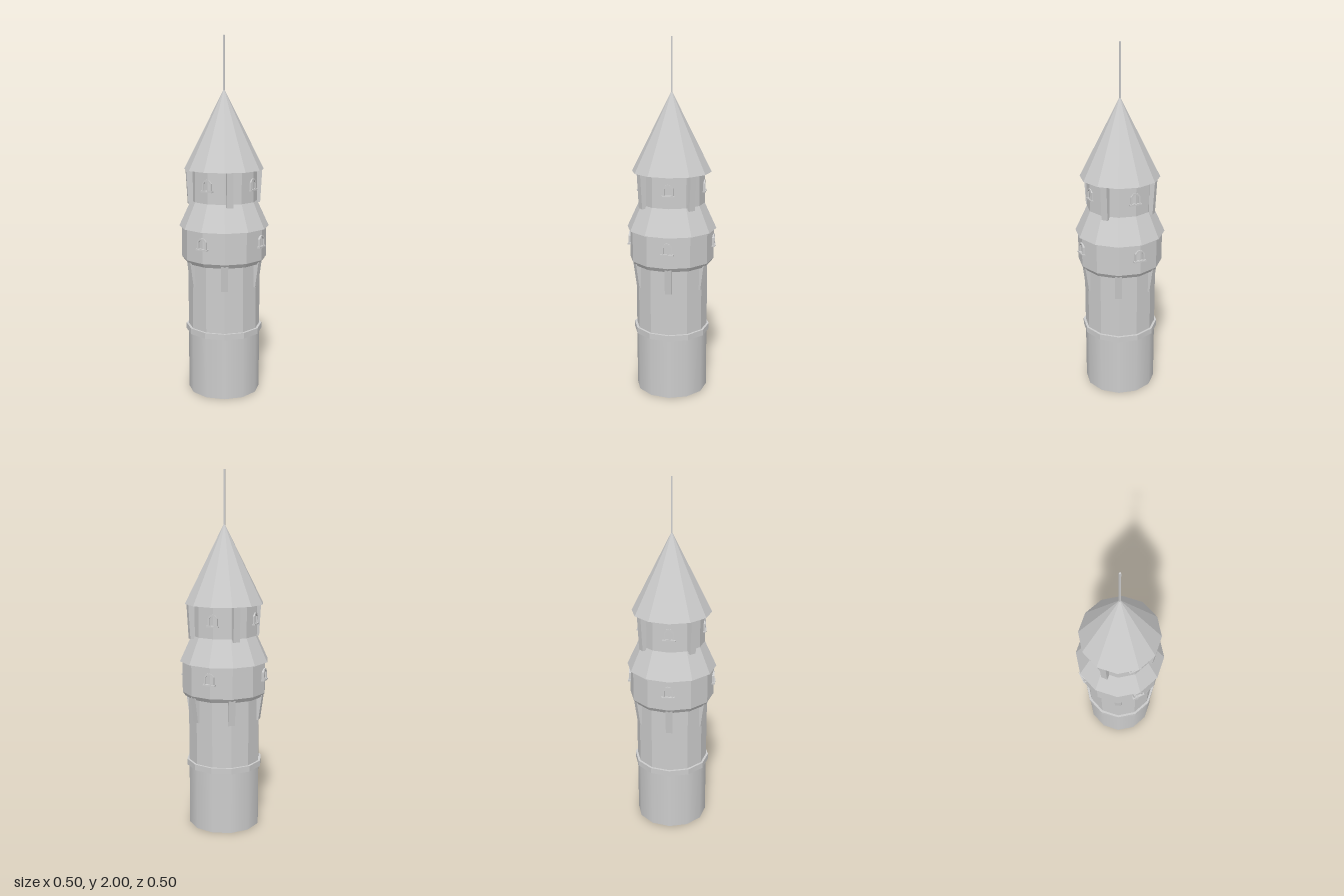
import * as THREE from 'three';

const SIDES = 12;
const flat = new THREE.MeshStandardMaterial({ color: 0xcccccc, flatShading: true });
const smooth = new THREE.MeshStandardMaterial({ color: 0xcccccc });

function add(parent, name, geometry, material = flat) {
  const mesh = new THREE.Mesh(geometry, material);
  mesh.name = name;
  parent.add(mesh);
  return mesh;
}

// Twelve-sided section between two heights
function section(parent, name, y0, y1, r0, r1, material = flat, sides = SIDES) {
  const mesh = add(parent, name, new THREE.CylinderGeometry(r1, r0, y1 - y0, sides), material);
  mesh.position.y = (y0 + y1) / 2;
  return mesh;
}

// Wedge bracket: wide at the top, thinner at the foot; profile is (radius, height)
function bracketGeometry(inner, foot, top, y0, y1, width) {
  const profile = new THREE.Shape([
    new THREE.Vector2(inner, y0), new THREE.Vector2(foot, y0),
    new THREE.Vector2(top, y1), new THREE.Vector2(inner, y1),
  ]);
  return new THREE.ExtrudeGeometry(profile, { depth: width, bevelEnabled: false })
    .translate(0, 0, -width / 2).rotateY(-Math.PI / 2);
}

// Arched outline standing on y = 0
function arch(target, halfWidth, base, spring, top) {
  target.moveTo(-halfWidth, base);
  target.lineTo(halfWidth, base);
  target.lineTo(halfWidth, spring);
  target.lineTo(halfWidth * 0.5, top - (top - spring) * 0.2);
  target.lineTo(0, top);
  target.lineTo(-halfWidth * 0.5, top - (top - spring) * 0.2);
  target.lineTo(-halfWidth, spring);
  target.closePath();
  return target;
}

// Window with arched frame and sill, its face at the given radius
function makeWindow(radius, y) {
  const group = new THREE.Group();
  group.name = 'window';
  const outline = arch(new THREE.Shape(), 0.028, 0, 0.045, 0.066);
  outline.holes.push(arch(new THREE.Path(), 0.02, 0.006, 0.041, 0.057));
  const frame = add(group, 'windowFrame',
    new THREE.ExtrudeGeometry(outline, { depth: 0.03, bevelEnabled: false }));
  frame.position.set(0, y, radius - 0.03);
  const sill = add(group, 'windowSill', new THREE.BoxGeometry(0.07, 0.008, 0.034));
  sill.position.set(0, y, radius - 0.012);
  return group;
}

// Repeat an object evenly around the tower axis
function ring(parent, name, count, startDegrees, make) {
  const group = new THREE.Group();
  group.name = name;
  for (let i = 0; i < count; i++) {
    const item = make();
    item.rotation.y = THREE.MathUtils.degToRad(startDegrees + (i * 360) / count);
    group.add(item);
  }
  parent.add(group);
}

export function createModel() {
  const tower = new THREE.Group();
  tower.name = 'tower';

  // Shaft
  section(tower, 'base', 0, 0.35, 0.203, 0.203, smooth);
  section(tower, 'baseRing', 0.35, 0.383, 0.216, 0.216);
  section(tower, 'shaft', 0.383, 0.765, 0.203, 0.203);

  // Overhanging lower gallery and its sloped skirt roof
  section(tower, 'galleryUnderside', 0.757, 0.78, 0.222, 0.238);
  section(tower, 'gallery', 0.78, 0.955, 0.238, 0.238);
  section(tower, 'skirtRoof', 0.955, 1.1, 0.252, 0.185);

  // Upper drum, cone roof and spire
  section(tower, 'upperDrum', 1.1, 1.275, 0.185, 0.185);
  const roof = add(tower, 'coneRoof', new THREE.ConeGeometry(0.222, 0.44, SIDES));
  roof.position.y = 1.495;
  section(tower, 'spire', 1.69, 2, 0.006, 0.006, flat, 4).rotation.y = Math.PI / 4;

  // Brackets below the gallery and below the cone roof
  const lower = bracketGeometry(0.18, 0.208, 0.228, 0.625, 0.77, 0.038);
  const upper = bracketGeometry(0.16, 0.203, 0.214, 1.085, 1.275, 0.036);
  const bracket = (geometry) => () => {
    const mesh = new THREE.Mesh(geometry, flat);
    mesh.name = 'bracket';
    return mesh;
  };
  ring(tower, 'galleryBrackets', 6, 30, bracket(lower));
  ring(tower, 'roofBrackets', 4, 38, bracket(upper));

  // Windows on the four main sides
  ring(tower, 'galleryWindows', 4, -1, () => makeWindow(0.243, 0.858));
  ring(tower, 'drumWindows', 4, -1, () => makeWindow(0.187, 1.168));

  return tower;
}
